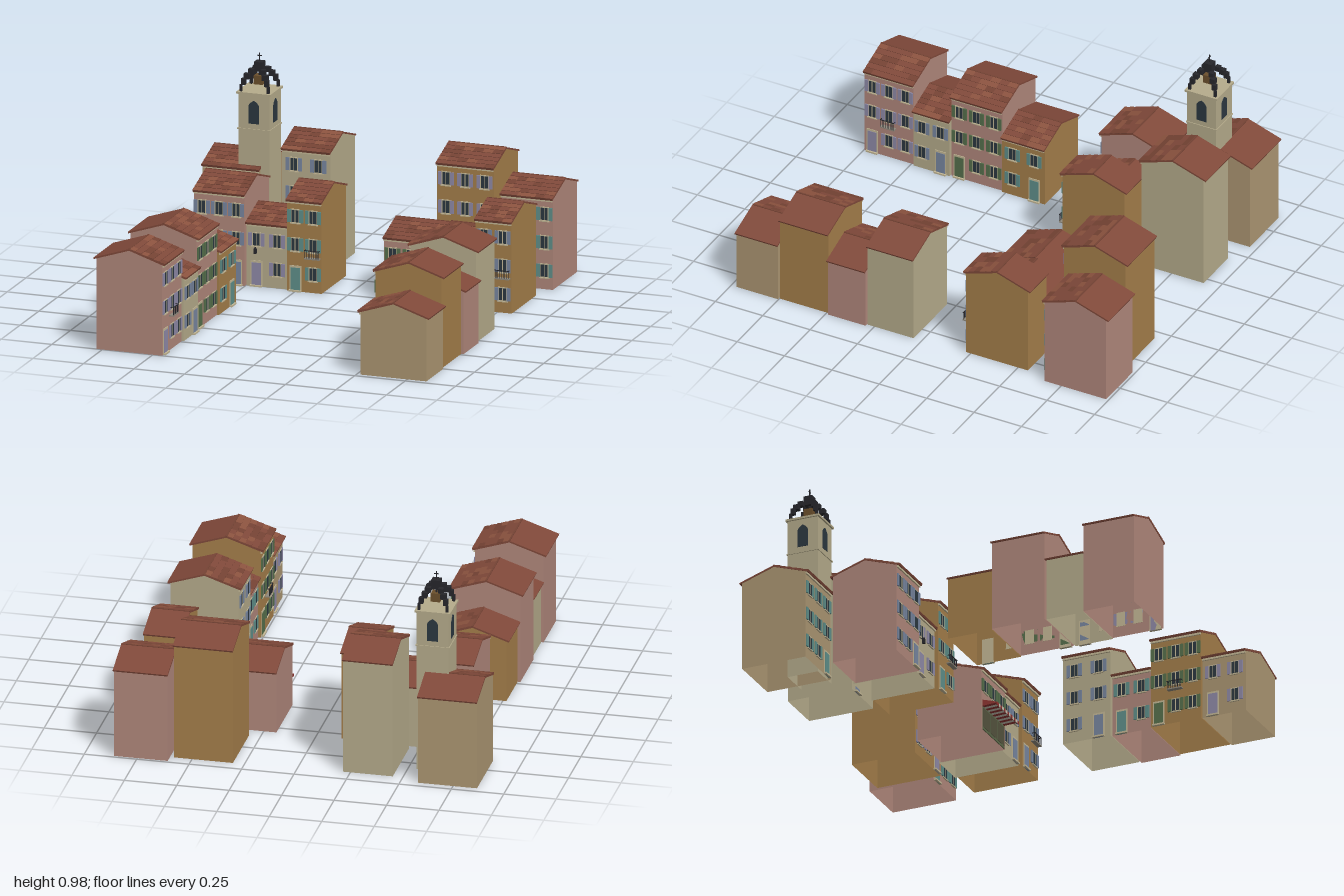
import * as THREE from 'three';
import { mergeGeometries } from 'three/addons/utils/BufferGeometryUtils.js';

const mats = {};
const mat = (c) => (mats[c] ??= new THREE.MeshStandardMaterial({ color: c, flatShading: true, side: THREE.DoubleSide }));
const unitBox = new THREE.BoxGeometry(1, 1, 1);

function box(parent, name, color, w, h, d, x, y, z, rx = 0) {
  const m = new THREE.Mesh(unitBox, mat(color));
  m.name = name;
  m.scale.set(w, h, d);
  m.position.set(x, y, z);
  m.rotation.x = rx;
  parent.add(m);
}

let seed = 7;
const rand = () => (seed = (seed * 16807) % 2147483647) / 2147483647;

const CREAM = 0xb5ab8b, PINK = 0xb0877b, OCHRE = 0xa47e4a, TAN = 0xac9672;
const TRIM = 0xc4b896, GLASS = 0x2b3740, IRON = 0x26262b, STONE = 0x8f897c;
const TILES = [0x80493a, 0x754334, 0x8c533f, 0x80493a];
const BLUE = 0x7886a0, TEAL = 0x5f8f8a, VIOLET = 0x8f8aa8, GREEN = 0x56704c;
const OVERHANG = 0.013, RISE = 0.058;

// Shuttered window on a facade lying at z
function addWindow(parent, x, y, z, shutter) {
  const g = new THREE.Group();
  g.name = 'window';
  g.position.set(x, y, z);
  box(g, 'windowFrame', TRIM, 0.044, 0.068, 0.004, 0, 0, 0.001);
  box(g, 'windowPane', GLASS, 0.034, 0.058, 0.004, 0, 0, 0.002);
  box(g, 'windowBar', TRIM, 0.003, 0.058, 0.004, 0, 0, 0.003);
  box(g, 'windowSill', TRIM, 0.05, 0.005, 0.008, 0, -0.035, 0.003);
  for (const s of [-1, 1]) box(g, 'shutter', shutter, 0.018, 0.062, 0.006, s * 0.03, 0, 0.003);
  parent.add(g);
}

function addDoor(parent, x, z, color) {
  box(parent, 'doorFrame', TRIM, 0.058, 0.125, 0.004, x, 0.0625, z + 0.001);
  box(parent, 'door', color, 0.046, 0.115, 0.006, x, 0.0575, z + 0.002);
  box(parent, 'doorStep', TRIM, 0.06, 0.008, 0.014, x, 0.004, z + 0.006);
}

function addBalcony(parent, x, y, z) {
  const g = new THREE.Group();
  g.name = 'balcony';
  g.position.set(x, y, z);
  box(g, 'balconyFloor', STONE, 0.074, 0.006, 0.022, 0, 0, 0.011);
  box(g, 'balconyRail', IRON, 0.074, 0.003, 0.003, 0, 0.04, 0.02);
  for (const s of [-1, 1]) box(g, 'balconySideRail', IRON, 0.003, 0.003, 0.02, s * 0.035, 0.04, 0.01);
  for (let i = 0; i < 9; i++) box(g, 'balconyBar', IRON, 0.002, 0.04, 0.002, -0.035 + i * 0.00875, 0.02, 0.02);
  parent.add(g);
}

function addLantern(parent, x, y, z) {
  box(parent, 'lanternArm', IRON, 0.004, 0.004, 0.02, x, y + 0.02, z + 0.01);
  box(parent, 'lantern', IRON, 0.012, 0.024, 0.012, x, y + 0.004, z + 0.015);
}

// Hollow gabled walls, open underneath; hd is half the depth
function wallGeometry(w, hd, eave, peak) {
  const gable = new THREE.Shape();
  gable.moveTo(-hd, 0);
  gable.lineTo(hd, 0);
  gable.lineTo(hd, eave);
  gable.lineTo(0, peak);
  gable.lineTo(-hd, eave);
  const parts = [];
  for (const s of [1, -1]) {
    const turn = s > 0 ? 0 : Math.PI;
    parts.push(new THREE.ShapeGeometry(gable).translate(0, 0, w / 2).rotateY(Math.PI / 2 + turn));
    parts.push(new THREE.PlaneGeometry(w, eave).translate(0, eave / 2, hd).rotateY(turn));
  }
  return mergeGeometries(parts);
}

// House from roof bounds; the facade faces local +z and has `floors` storeys
function house({ name, x0, x1, z0, z1, floors, wall, shutter, turn = 0, shop, balcony, lantern }, index) {
  const g = new THREE.Group();
  g.name = name;
  g.position.set((x0 + x1) / 2, 0, (z0 + z1) / 2);
  g.rotation.y = turn;
  const w = turn ? z1 - z0 : x1 - x0, d = turn ? x1 - x0 : z1 - z0;
  const top = [0, 0, 0.365, 0.5, 0.632][floors];
  const eave = top - RISE - 0.006, hd = d / 2 - OVERHANG;

  const walls = new THREE.Mesh(wallGeometry(w - 0.004, hd, eave + 0.002, top - 0.008), mat(wall));
  walls.name = 'walls';
  g.add(walls);

  // roof slabs and stepped tile courses on the street side
  const a = Math.atan2(RISE, d / 2), len = Math.hypot(RISE, d / 2);
  for (const s of [1, -1])
    box(g, 'roofSlab', TILES[0], w, 0.008, len, 0, top - RISE / 2 - 0.005, s * d / 4, s * a);
  const rows = 6, cols = Math.max(3, Math.round(w / 0.045));
  for (let r = 0; r < rows; r++) for (let c = 0; c < cols; c++) {
    const t = (r + 0.5) / rows;
    box(g, 'roofTiles', TILES[Math.floor(rand() * 4)], w / cols, 0.004, len / rows + 0.003,
      (c + 0.5) * w / cols - w / 2, top - RISE * t - 0.0005, t * d / 2, a - 0.07);
  }
  box(g, 'ridgeTiles', TILES[1], w, 0.004, 0.008, 0, top - 0.001, 0);
  box(g, 'eaveCornice', TRIM, w - 0.006, 0.01, 0.008, 0, eave - 0.006, hd + 0.003);

  // facade openings
  const n = Math.round(w / 0.1);
  const doorCol = balcony !== undefined || index % 2 ? 0 : n - 1;
  for (let f = shop ? 1 : 0; f < floors; f++) for (let c = 0; c < n; c++) {
    const x = (c + 0.5) * w / n - w / 2;
    if (f === 0 && c === doorCol) addDoor(g, x, hd, shutter);
    else addWindow(g, x, 0.09 + f * 0.137, hd, shutter);
    if (f === 1 && c === balcony) addBalcony(g, x, 0.168, hd);
  }
  if (shop) addShop(g, w, hd);
  if (lantern) addLantern(g, -w / 2 + 0.05, 0.17, hd);
  return g;
}

// Shop front with a striped wedge awning and a plain board
function addShop(parent, w, z) {
  const sw = w - 0.025, n = 13;
  box(parent, 'shopFrame', 0x5c6a4a, sw, 0.115, 0.004, 0, 0.0575, z + 0.001);
  for (let i = 0; i < 3; i++) box(parent, 'shopWindow', 0x55543f, sw / 3 - 0.008, 0.095, 0.005, (i - 1) * sw / 3, 0.06, z + 0.002);
  box(parent, 'shopBoard', 0x55704e, 0.13, 0.014, 0.008, 0, 0.16, z + 0.004);
  const wedge = new THREE.Shape();
  wedge.moveTo(0, 0.118);
  wedge.lineTo(0, 0.15);
  wedge.lineTo(-0.076, 0.125);
  wedge.lineTo(-0.076, 0.11);
  wedge.lineTo(-0.073, 0.11);
  wedge.lineTo(-0.073, 0.121);
  const stripe = new THREE.ExtrudeGeometry(wedge, { depth: sw / n, bevelEnabled: false });
  stripe.rotateY(Math.PI / 2);
  for (let i = 0; i < n; i++) {
    const m = new THREE.Mesh(stripe, mat(i % 2 ? 0xc8c0b0 : 0x8f3430));
    m.name = 'awningStripe';
    m.position.set(i * sw / n - sw / 2, 0, z);
    parent.add(m);
  }
}

// Square bell tower with arched openings and an open iron cage
function bellTower() {
  const g = new THREE.Group();
  g.name = 'bellTower';
  g.position.set(-0.616, 0, -0.733);
  const shaftGeo = new THREE.CylinderGeometry(0.077 * Math.SQRT2, 0.077 * Math.SQRT2, 0.8, 4, 1, true);
  const shaft = new THREE.Mesh(shaftGeo.rotateY(Math.PI / 4).translate(0, 0.4, 0), mat(CREAM));
  shaft.name = 'towerShaft';
  g.add(shaft);
  box(g, 'towerBand', CREAM, 0.162, 0.006, 0.162, 0, 0.627, 0);
  box(g, 'towerCornice', CREAM, 0.17, 0.01, 0.17, 0, 0.8, 0);
  const arch = new THREE.Shape();
  arch.moveTo(-0.026, 0);
  arch.lineTo(0.026, 0);
  arch.lineTo(0.026, 0.085);
  arch.quadraticCurveTo(0.022, 0.1, 0, 0.112);
  arch.quadraticCurveTo(-0.022, 0.1, -0.026, 0.085);
  const archGeo = new THREE.ExtrudeGeometry(arch, { depth: 0.004, bevelEnabled: false, curveSegments: 4 });
  archGeo.translate(0, 0.655, 0.075);
  for (let i = 0; i < 4; i++) {
    const opening = new THREE.Mesh(archGeo, mat(GLASS));
    opening.name = 'bellOpening';
    opening.rotation.y = i * Math.PI / 2;
    g.add(opening);
  }
  // four curved ribs of chunky iron blocks rising from the corners
  const rib = [[0.067, 0.82, 0.012, 0.034], [0.058, 0.85, 0.02, 0.03], [0.045, 0.874, 0.026, 0.026],
    [0.03, 0.895, 0.024, 0.024]];
  for (const sx of [-1, 1]) for (const sz of [-1, 1])
    for (const [o, y, w, h] of rib) box(g, 'cageRib', IRON, w, h, w, sx * o, y, sz * o);
  box(g, 'cageCrown', IRON, 0.042, 0.046, 0.042, 0, 0.915, 0);
  box(g, 'bellHanger', IRON, 0.008, 0.03, 0.008, 0, 0.882, 0);
  box(g, 'bell', 0x6b4f2c, 0.044, 0.042, 0.044, 0, 0.851, 0);
  box(g, 'crossPost', IRON, 0.004, 0.042, 0.004, 0, 0.957, 0);
  box(g, 'crossArm', IRON, 0.02, 0.004, 0.004, 0, 0.965, 0);
  return g;
}

export function createModel() {
  const model = new THREE.Group();
  model.name = 'village';
  const E = Math.PI / 2, W = -Math.PI / 2;
  const houses = [
    // back row
    ['backHouse', -0.866, -0.581, -0.977, -0.628, 3, TAN, TEAL],
    ['backHouse', -0.454, -0.212, -0.933, -0.58, 4, CREAM, BLUE],
    ['backHouse', 0.303, 0.589, -0.953, -0.604, 4, OCHRE, VIOLET],
    ['backHouse', 0.603, 0.864, -1, -0.65, 3, PINK, TEAL],
    // middle row
    ['middleHouse', -0.755, -0.5, -0.565, -0.213, 3, PINK, BLUE],
    ['middleHouse', -0.5, -0.294, -0.577, -0.229, 2, CREAM, VIOLET, 0, { lantern: true }],
    ['middleHouse', -0.294, -0.118, -0.565, -0.213, 3, OCHRE, TEAL, 0, { balcony: 1 }],
    ['shopHouse', 0.187, 0.455, -0.565, -0.213, 2, PINK, GREEN, 0, { shop: true }],
    ['middleHouse', 0.455, 0.639, -0.577, -0.229, 2, CREAM, BLUE, 0, { lantern: true }],
    ['middleHouse', 0.639, 0.823, -0.565, -0.213, 3, OCHRE, BLUE, 0, { balcony: 1 }],
    // street on the -x side, facing +x
    ['streetHouse', -0.78, -0.432, 0.041, 0.27, 2, OCHRE, TEAL, E],
    ['streetHouse', -0.793, -0.441, 0.27, 0.543, 3, PINK, GREEN, E],
    ['streetHouse', -0.782, -0.432, 0.543, 0.738, 2, CREAM, BLUE, E],
    ['streetHouse', -0.793, -0.441, 0.738, 1, 3, PINK, VIOLET, E, { balcony: 1 }],
    // street on the +x side, facing -x
    ['streetHouse', 0.497, 0.848, 0.041, 0.288, 3, CREAM, BLUE, W],
    ['streetHouse', 0.509, 0.861, 0.288, 0.49, 2, PINK, TEAL, W],
    ['streetHouse', 0.497, 0.849, 0.49, 0.75, 3, OCHRE, GREEN, W, { balcony: 1 }],
    ['streetHouse', 0.505, 0.858, 0.75, 0.975, 2, TAN, VIOLET, W],
  ];
  houses.forEach(([name, x0, x1, z0, z1, floors, wall, shutter, turn, extra], i) =>
    model.add(house({ name, x0, x1, z0, z1, floors, wall, shutter, turn, ...extra }, i)));
  model.add(bellTower());
  return model;
}
